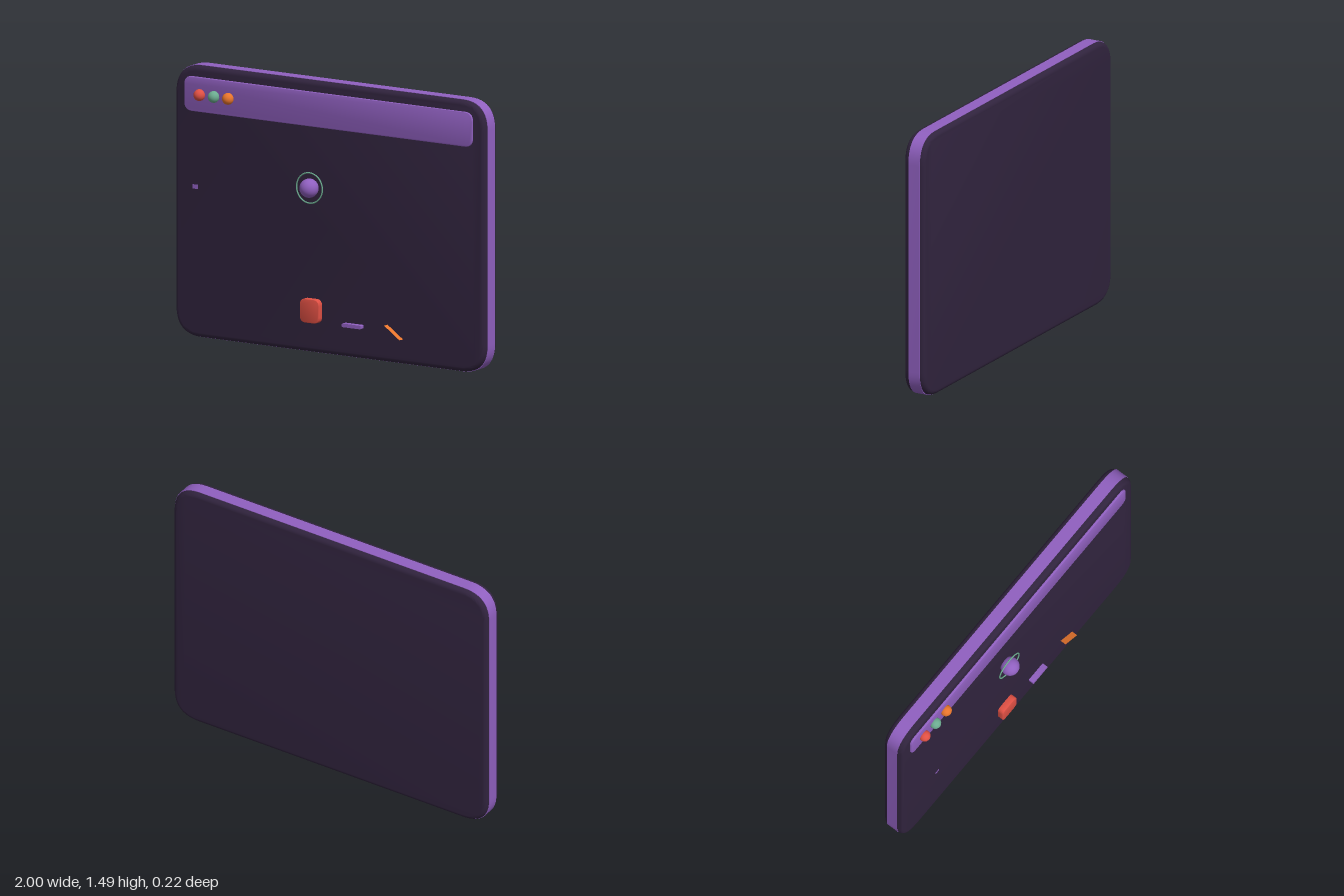
import * as THREE from 'three';
import { toCreasedNormals } from 'three/addons/utils/BufferGeometryUtils.js';

const paint = (color, side = THREE.FrontSide) => {
  const m = new THREE.MeshStandardMaterial({ side });
  m.color.set(color);
  return m;
};
const dark = paint(0x30233d);
const purple = paint(0x9060c0);
const red = paint(0xe05044);
const green = paint(0x6cac90);
const orange = paint(0xe8752c);

// Rectangle outline with soft quadratic corners, centred on the origin
function softRect(w, h, r) {
  const x = w / 2, y = h / 2, s = new THREE.Shape();
  s.moveTo(-x + r, -y);
  s.lineTo(x - r, -y);
  s.quadraticCurveTo(x, -y, x, -y + r);
  s.lineTo(x, y - r);
  s.quadraticCurveTo(x, y, x - r, y);
  s.lineTo(-x + r, y);
  s.quadraticCurveTo(-x, y, -x, y - r);
  s.lineTo(-x, -y + r);
  s.quadraticCurveTo(-x, -y, -x + r, -y);
  return s;
}

// Slab of full size w x h between z0 and z1, with an optional rounded rim
function slab(w, h, r, z0, z1, rim = 0, rimDepth = rim) {
  const g = new THREE.ExtrudeGeometry(softRect(w, h, r), {
    depth: z1 - z0 - 2 * rimDepth, curveSegments: 12,
    bevelEnabled: rim > 0, bevelSize: rim, bevelThickness: rimDepth,
    bevelOffset: -rim, bevelSegments: 5,
  });
  g.translate(0, 0, z0 + rimDepth);
  return toCreasedNormals(g, 0.6);
}

export function createModel() {
  const model = new THREE.Group();
  const add = (name, geometry, material, x, y, z = 0) => {
    const mesh = new THREE.Mesh(geometry, material);
    mesh.name = name;
    mesh.position.set(x, y, z);
    model.add(mesh);
    return mesh;
  };

  // Window panel with a coloured band around its edge
  add('panel', slab(1.996, 1.486, 0.16, -0.108, 0.02, 0.025, 0.03), dark, 0, 0.745);
  add('edgeBand', slab(2, 1.49, 0.16, -0.082, -0.012), purple, 0, 0.745);

  // Title bar and its three buttons
  add('titleBar', slab(1.855, 0.19, 0.05, 0.01, 0.031, 0.004), purple, -0.002, 1.335);
  [['redButton', red], ['greenButton', green], ['orangeButton', orange]].forEach(([name, material], i) =>
    add(name, new THREE.SphereGeometry(0.032, 24, 16), material, -0.825 + i * 0.092, 1.335, 0.039));

  // Ball with a thin ring
  add('ball', new THREE.SphereGeometry(0.052, 32, 24), purple, -0.108, 0.908, 0.055);
  add('ballRing', new THREE.TorusGeometry(0.083, 0.004, 8, 48), green, -0.108, 0.908, 0.051);

  // Small floating tile
  add('floatingTile', new THREE.PlaneGeometry(0.034, 0.024),
    paint(0x9060c0, THREE.DoubleSide), -0.805, 0.848, 0.109);

  // Details along the lower edge
  add('redBlock', slab(0.122, 0.13, 0.035, 0.01, 0.054, 0.003), red, -0.108, 0.234);
  add('smallBar', slab(0.122, 0.02, 0.006, 0.01, 0.051), purple, 0.16, 0.18);

  // Slanted fin, a thin sheet standing out from the panel
  const finGeometry = new THREE.PlaneGeometry(0.122, 0.04).rotateX(-Math.PI / 2);
  const fin = add('slantedFin', finGeometry, paint(0xe8752c, THREE.DoubleSide), 0.424, 0.174, 0.034);
  fin.rotation.z = -0.61;

  return model;
}
